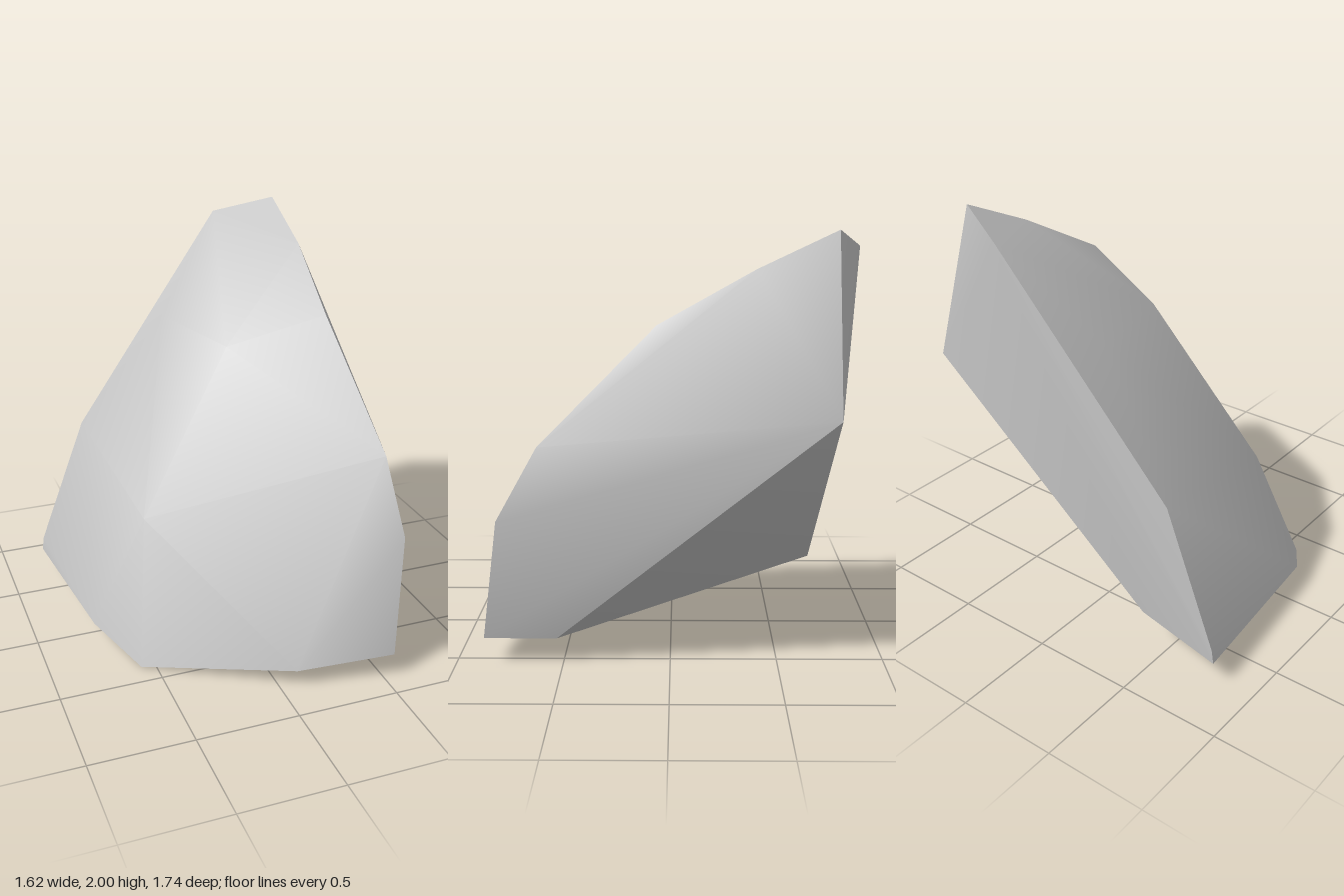
import * as THREE from 'three';
import { ConvexGeometry } from 'three/addons/geometries/ConvexGeometry.js';
import { toCreasedNormals } from 'three/addons/utils/BufferGeometryUtils.js';

export function createModel() {
  const stone = new THREE.MeshStandardMaterial({ color: 0xc4c4c4 });
  stone.name = 'pale grey stone';

  // Corners of the leaning boulder
  const corners = [
    // peak and back
    [0.55, 2.0, -0.74], [0.26, 1.92, -0.87], [0.805, 1.2, -0.74],
    [-0.55, 0.85, -0.74], [-0.41, 0.22, -0.74],
    [-0.8, 0.19, -0.74], [-0.81, 0.12, -0.74],
    // ridge down the front
    [0.55, 1.83, -0.38], [0.51, 1.58, 0.06], [0.59, 1.04, 0.6],
    [0.61, 0.7, 0.79], [0.55, 0.12, 0.87],
    // sloping shoulder
    [-0.12, 1.45, -0.61], [0.04, 1.43, -0.07], [-0.46, 0.665, 0.12],
    // underside
    [0.08, 0.085, 0.79], [-0.57, 0, 0.38], [-0.73, 0.12, 0.11], [0.55, 0.12, 0.53],
  ].map((p) => new THREE.Vector3(...p));

  // Soft shading over gentle facets, crisp at the main edges
  const boulder = new THREE.Mesh(toCreasedNormals(new ConvexGeometry(corners), 0.8), stone);
  boulder.name = 'boulder';

  const group = new THREE.Group();
  group.name = 'rock';
  group.add(boulder);
  return group;
}
